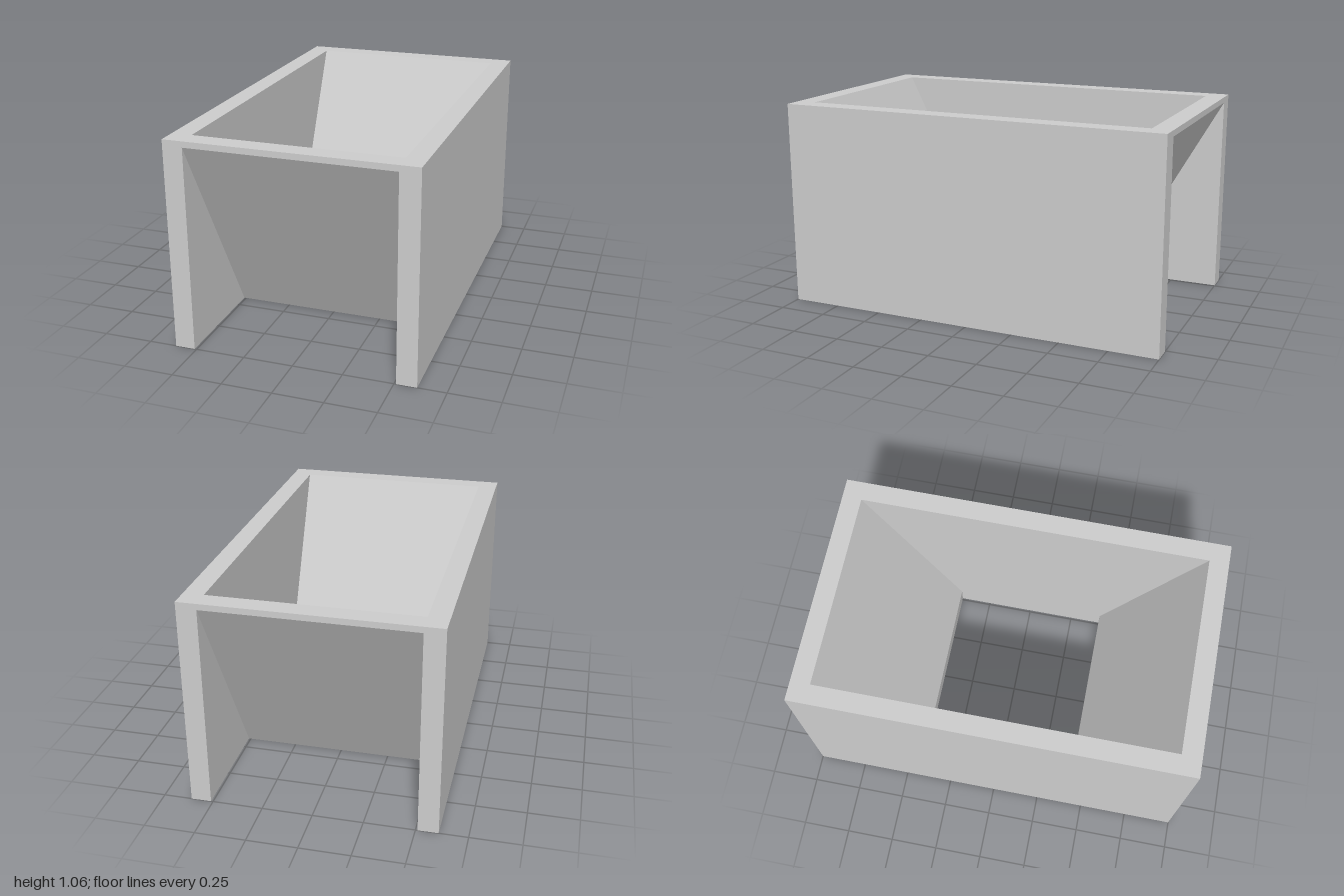
import * as THREE from 'three';

export function createModel() {
  const group = new THREE.Group();
  const grey = new THREE.MeshStandardMaterial({ color: 0xcccccc });
  grey.name = 'light grey';

  const height = 1.06, length = 2, outer = 0.61, inner = 0.51;

  // Two upright side walls
  for (const side of [1, -1]) {
    const wall = new THREE.Mesh(new THREE.BoxGeometry(outer - inner, height, length), grey);
    wall.name = side > 0 ? 'leftWall' : 'rightWall';
    wall.position.set(side * (outer + inner) / 2, height / 2, 0);
    group.add(wall);
  }

  // Sloped hopper plates: cross-section in (z, y), extruded across the width
  const profile = [[0.417, 0], [1, 1.03], [1, height], [0.9, height], [0.417, 0.1]];
  for (const end of [1, -1]) {
    const shape = new THREE.Shape(profile.map(([z, y]) => new THREE.Vector2(end * z, y)));
    const geometry = new THREE.ExtrudeGeometry(shape, { depth: inner * 2, bevelEnabled: false });
    geometry.translate(0, 0, -inner);
    geometry.rotateY(-Math.PI / 2);
    const plate = new THREE.Mesh(geometry, grey);
    plate.name = end > 0 ? 'frontSlope' : 'backSlope';
    group.add(plate);
  }

  return group;
}
